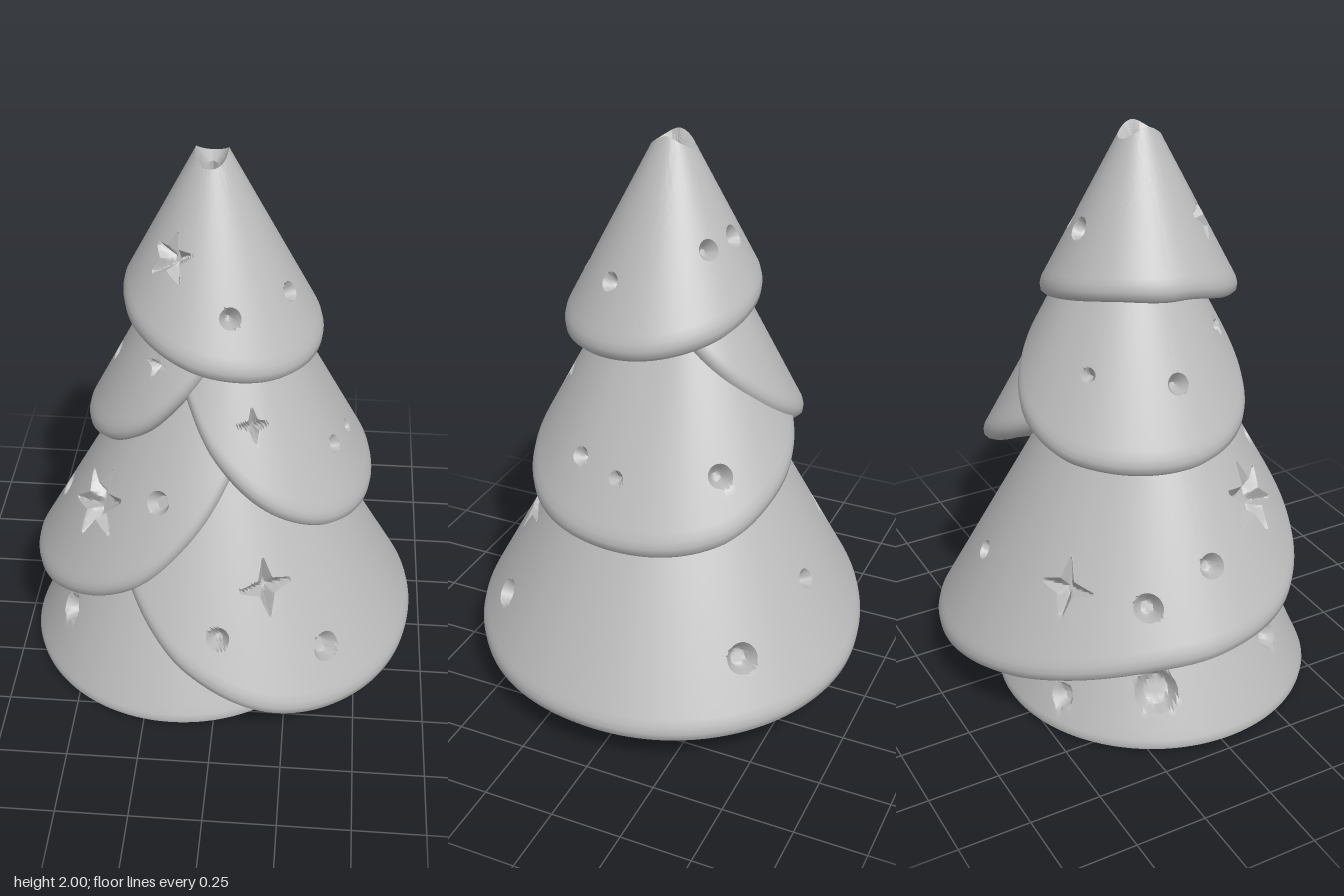
import * as THREE from 'three';
import { toCreasedNormals } from 'three/addons/utils/BufferGeometryUtils.js';

const RAD = Math.PI / 180;
const clay = new THREE.MeshStandardMaterial({ color: 0xbcbcbc, side: THREE.DoubleSide });
clay.name = 'grey clay';

// Smooth curve through [angle, value] pairs
function curve(pts) {
  const slope = (i) => {
    if (i === 0 || i === pts.length - 1) return 0;
    return (pts[i + 1][1] - pts[i - 1][1]) / (pts[i + 1][0] - pts[i - 1][0]);
  };
  return (a) => {
    let i = 0;
    while (i < pts.length - 2 && a > pts[i + 1][0]) i++;
    const h = pts[i + 1][0] - pts[i][0];
    const t = THREE.MathUtils.clamp((a - pts[i][0]) / h, 0, 1);
    const t2 = t * t, t3 = t2 * t;
    return pts[i][1] * (2 * t3 - 3 * t2 + 1) + slope(i) * h * (t3 - 2 * t2 + t)
      + pts[i + 1][1] * (3 * t2 - 2 * t3) + slope(i + 1) * h * (t3 - t2);
  };
}

// n + 1 values between two ends, packed closer inside the bands [centre, halfWidth, weight]
function spread(n, from, to, bands) {
  const steps = 3000, sums = [0];
  const at = (k) => from + (to - from) * k / steps;
  for (let k = 0; k < steps; k++) {
    const x = at(k + 0.5);
    sums.push(sums[k] + Math.max(1, ...bands.map((b) => (Math.abs(x - b[0]) < b[1] ? b[2] : 1))));
  }
  const out = [];
  for (let i = 0, k = 0; i <= n; i++) {
    const goal = sums[steps] * i / n;
    while (k < steps - 1 && sums[k + 1] < goal) k++;
    out.push(i === n ? to : at(k + (goal - sums[k]) / (sums[k + 1] - sums[k])));
  }
  return out;
}

// Grid mesh from a point rule fn(column, row) -> [x, y, z]
function gridMesh(name, cols, rows, fn) {
  const pos = [], idx = [];
  for (let i = 0; i <= cols; i++) {
    for (let j = 0; j <= rows; j++) {
      pos.push(...fn(i, j));
      if (i < cols && j < rows) {
        const a = i * (rows + 1) + j, d = a + rows + 1;
        idx.push(a, a + 1, d + 1, a, d + 1, d);
      }
    }
  }
  const geo = new THREE.BufferGeometry();
  geo.setAttribute('position', new THREE.Float32BufferAttribute(pos, 3));
  geo.setIndex(idx);
  const mesh = new THREE.Mesh(toCreasedNormals(geo, 0.75), clay);
  mesh.name = name;
  return mesh;
}

// Distance of (u, v) outside a cut's edge, and the nearest point on that edge
function edgeOf(cut, u, v) {
  const d = Math.hypot(u, v), angle = Math.atan2(u, v);
  if (!cut.points) return { s: d - cut.size, u: cut.size * Math.sin(angle), v: cut.size * Math.cos(angle) };
  const b = Math.PI / cut.points, inner = cut.size * (cut.points > 4 ? 0.42 : 0.32);
  const arm = Math.round(angle / (2 * b)) * 2 * b, a = angle - arm, side = a < 0 ? -1 : 1;
  const normal = new THREE.Vector2(inner * Math.sin(b), cut.size - inner * Math.cos(b)).normalize();
  const px = d * Math.cos(a), py = d * Math.abs(Math.sin(a));
  const s = normal.x * (px - cut.size) + normal.y * py;
  const qx = px - s * normal.x, qy = Math.max(0, py - s * normal.y);
  const turn = arm + side * Math.atan2(qy, qx), r = Math.hypot(qx, qy);
  return { s, u: r * Math.sin(turn), v: r * Math.cos(turn) };
}

// Rounded lip: [outward, up] steps, up measured in lip heights
const LIP = [[0.006, 0.65], [0.003, 0.3], [-0.014, 0.08], [-0.045, 0]];

// A conical skirt with a varying lip height and recessed cuts [angle, y, size, star points]
function skirt(o) {
  const lip = curve(o.lip), apex = curve(o.apex);
  const from = o.lip[0][0], to = o.lip[o.lip.length - 1][0];
  const slant = Math.hypot(1, o.slope), lipH = o.lipHeight ?? 0.07;
  const cuts = o.cuts.map(([a, y, size, points = 0]) => ({ a, y, size, points }));
  const topAt = (a) => (o.top ? o.top(a) : Math.min(lip(a) + 0.95, apex(a) - 0.05));
  const radius = (a, y) => o.slope * (apex(a) - y) + (o.extra ?? 0);
  const place = (a, r, y) => [o.x + r * Math.sin(a * RAD), y, o.z + r * Math.cos(a * RAD)];
  const angles = spread(o.cols, from, to, cuts.map((c) =>
    [c.a, 1.15 * c.size / radius(c.a, c.y) / RAD, c.points ? 4 : 2]));
  const levels = spread(o.rows, 0, 1, cuts.map((c) => {
    const top = topAt(c.a), span = top - lip(c.a) - lipH;
    return [(top - c.y) / span, 1.3 * c.size / span, c.points ? 3 : 1.8];
  }));
  const snap = 0.005;
  return gridMesh(o.name, o.cols, o.rows + LIP.length + 1, (i, j) => {
    let a = angles[i], depth = 0;
    const bottom = lip(a), edge = bottom + lipH;
    if (j > o.rows) {
      const k = j - o.rows - 1, r = radius(a, edge);
      if (k < LIP.length) return place(a, Math.max(r + LIP[k][0], 0), bottom + LIP[k][1] * lipH);
      return place(a, Math.max(r - o.ledge, 0), bottom + (o.ledgeRise ?? 0.04));
    }
    let y = THREE.MathUtils.lerp(topAt(a), edge, levels[j]);
    for (const c of cuts) {
      const R = radius(c.a, c.y), u = (a - c.a) * RAD * R, v = (y - c.y) * slant;
      if (Math.hypot(u, v) > c.size + snap) continue;
      const near = edgeOf(c, u, v);
      if (Math.abs(near.s) < snap) {
        a = c.a + near.u / R / RAD;
        y = c.y + near.v / slant;
      } else if (near.s < 0) {
        depth = Math.min(0.05, -near.s * 2);
      }
      break;
    }
    return place(a, radius(a, y) - depth / slant, y - depth * o.slope / slant);
  });
}

export function createModel() {
  const tree = new THREE.Group();
  tree.name = 'tree';

  // Foot with a flat closed bottom
  tree.add(skirt({
    name: 'foot', x: -0.15, z: 0.025, slope: 0.45, apex: [[-90, 1.285], [270, 1.285]], lipHeight: 0.045,
    lip: [[-90, 0], [90, 0], [270, 0]], ledge: 1, ledgeRise: 0, cols: 170, rows: 32,
    cuts: [[-58, 0.25, 0.05], [205, 0.13, 0.045], [243, 0.2, 0.075]],
  }));

  // Large bough spiralling once round and overlapping itself at the front
  tree.add(skirt({
    name: 'lowerBough', x: 0, z: 0, slope: 0.545,
    apex: [[-60, 1.56], [-30, 1.58], [10, 1.57], [45, 1.5], [90, 1.45], [180, 1.48], [225, 1.55],
      [270, 1.68], [330, 1.66], [395, 1.64]],
    lip: [[-60, 0.74], [-34, 0.53], [-20, 0.41], [-8, 0.315], [17, 0.18], [45, 0.12], [90, 0.105], [130, 0.11],
      [160, 0.13], [180, 0.155], [205, 0.205], [225, 0.255], [250, 0.315], [270, 0.34], [300, 0.395], [330, 0.545],
      [350, 0.74], [370, 0.96], [395, 1.18]],
    ledge: 0.38, cols: 390, rows: 74,
    cuts: [[20, 0.6, 0.118, 4], [2, 0.46, 0.04], [38, 0.35, 0.052], [136, 0.36, 0.055], [172, 0.5, 0.035],
      [220, 0.55, 0.118, 4], [249, 0.53, 0.05], [272, 0.63, 0.045], [302, 0.755, 0.15, 6], [333, 0.86, 0.042]],
  }));

  // Middle boughs, one low on each side
  tree.add(skirt({
    name: 'middleBoughLeft', x: 0, z: 0, slope: 0.528,
    apex: [[-90, 1.78], [-20, 1.84], [20, 1.86], [50, 1.82], [90, 1.77], [125, 1.81], [160, 1.85], [200, 1.83], [270, 1.78]],
    lip: [[-90, 1.35], [-45, 1.3], [-22, 1.21], [0, 1.03], [24, 0.865], [50, 0.76], [90, 0.72],
      [130, 0.76], [156, 0.86], [180, 0.96], [205, 1.08], [225, 1.22], [270, 1.35]],
    ledge: 0.2, cols: 200, rows: 46,
    cuts: [[19, 1.17, 0.074, 4], [65, 0.99, 0.032], [86, 0.96, 0.026], [133, 0.99, 0.042]],
  }));
  tree.add(skirt({
    name: 'middleBoughRight', x: 0, z: 0, slope: 0.51,
    apex: [[-300, 1.86], [-240, 1.88], [-210, 1.91], [-180, 1.92], [-150, 1.91], [-90, 1.94], [0, 1.93], [60, 1.86]],
    lip: [[-300, 1.5], [-265, 1.47], [-240, 1.37], [-210, 1.22], [-180, 1.07], [-160, 1], [-140, 0.96], [-90, 0.945],
      [-60, 0.99], [-40, 1.075], [-22, 1.205], [0, 1.36], [30, 1.47], [60, 1.5]],
    ledge: 0.2, cols: 200, rows: 46,
    cuts: [[-41, 1.32, 0.06, 4], [-90, 1.22, 0.038], [-139, 1.25, 0.026]],
  }));

  // Top bough with a notched tip
  const rim = (a) => 1.98 - 0.02 * Math.cos(2 * a * RAD);
  const tip = { x: -0.04, z: 0.032 };
  tree.add(skirt({
    name: 'topBough', ...tip, slope: 0.52, apex: [[-90, 2], [270, 2]], extra: 0.052, top: rim,
    lip: [[-90, 1.48], [-45, 1.43], [0, 1.36], [45, 1.32], [90, 1.33], [135, 1.38], [180, 1.445], [225, 1.485], [270, 1.48]],
    ledge: 0.18, cols: 200, rows: 46,
    cuts: [[-35, 1.7, 0.098, 5], [16, 1.55, 0.036], [67, 1.56, 0.034], [145, 1.67, 0.036], [178, 1.68, 0.04]],
  }));

  // Small four-sided pit in the tip
  tree.add(gridMesh('tipPit', 48, 3, (i, j) => {
    const a = -90 + i * 7.5, s = Math.sin(a * RAD), c = Math.cos(a * RAD);
    const square = 0.034 / (Math.abs(s) + Math.abs(c));
    const r = [0, square * 0.95, square, 0.052 + 0.52 * (2 - rim(a))][j];
    return [tip.x + r * s, [1.88, 1.88, 1.94, rim(a)][j], tip.z + r * c];
  }));

  return tree;
}
